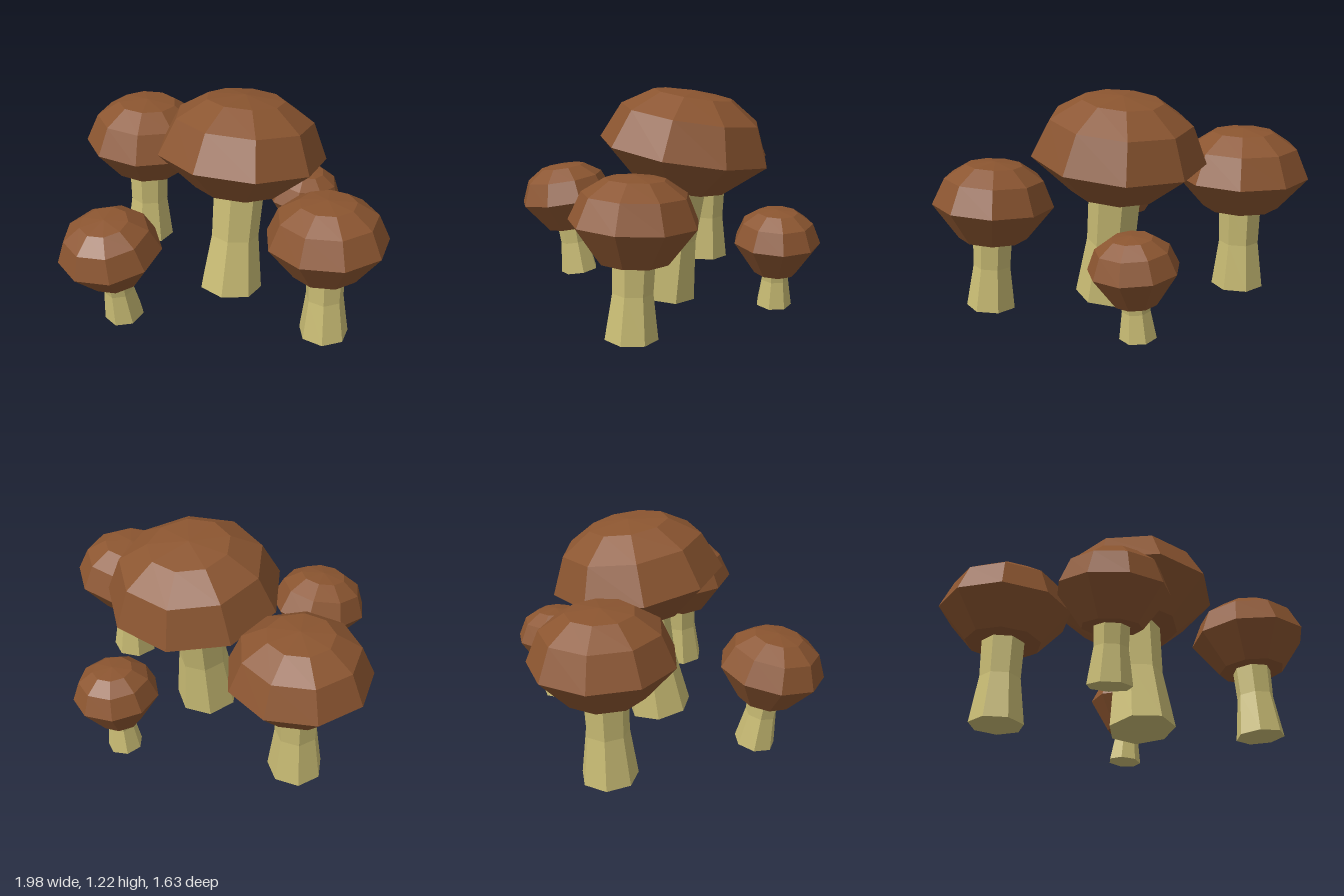
import * as THREE from 'three';

const rad = THREE.MathUtils.degToRad;

// Faceted solid of revolution; profile is [radius, height] from bottom to top
function faceted(profile, sides, phase) {
  const pts = profile.map(([r, y]) => new THREE.Vector2(r, y));
  const geo = new THREE.LatheGeometry(pts, sides, rad(phase)).toNonIndexed();
  geo.computeVertexNormals();
  return geo;
}

// base: centre of the stem foot; rim: centre of the widest cap ring.
// cap: radius r, rise above the rim, drop below it, radius of the lower ring.
const MUSHROOMS = [
  { name: 'largeMushroom', base: [0.05, 0.03, 0.01], rim: [0.07, 0.88, -0.115],
    r: 0.49, rise: 0.34, drop: 0.205, low: 0.26, foot: 0.19, capPhase: 26, stemPhase: 2 },
  { name: 'backRightMushroom', base: [-0.65, 0.035, -0.375], rim: [-0.635, 0.72, -0.39],
    r: 0.385, rise: 0.275, drop: 0.19, low: 0.22, foot: 0.155, capPhase: 12, stemPhase: 0 },
  { name: 'frontRightMushroom', base: [-0.445, 0.03, 0.475], rim: [-0.47, 0.505, 0.54],
    r: 0.29, rise: 0.21, drop: 0.185, low: 0.155, foot: 0.115, capPhase: 24, stemPhase: -3 },
  { name: 'backLeftMushroom', base: [0.315, 0.028, -0.585], rim: [0.345, 0.405, -0.582],
    r: 0.24, rise: 0.18, drop: 0.18, low: 0.12, foot: 0.1, capPhase: 3, stemPhase: 9 },
  { name: 'frontLeftMushroom', base: [0.69, 0.03, 0.267], rim: [0.665, 0.63, 0.242],
    r: 0.335, rise: 0.235, drop: 0.195, low: 0.19, foot: 0.14, capPhase: 28, stemPhase: 10 },
];

export function createModel() {
  const capBrown = new THREE.MeshStandardMaterial({ color: 0x8b5530 });
  capBrown.name = 'capBrown';
  const stemCream = new THREE.MeshStandardMaterial({ color: 0xc9bc74 });
  stemCream.name = 'stemCream';

  const model = new THREE.Group();
  model.name = 'mushroomCluster';

  for (const m of MUSHROOMS) {
    const base = new THREE.Vector3(...m.base);
    const axis = new THREE.Vector3(...m.rim).sub(base);
    const h = axis.length();

    const mushroom = new THREE.Group();
    mushroom.name = m.name;
    mushroom.position.copy(base);
    mushroom.quaternion.setFromUnitVectors(new THREE.Vector3(0, 1, 0), axis.normalize());

    // Seven-sided stem, flared at the foot and running up into the cap
    const stem = new THREE.Mesh(faceted([
      [0, 0], [m.foot, 0], [m.foot * 0.76, h * 0.4],
      [m.foot * 0.81, h - m.drop * 0.8], [0, h - m.drop * 0.8],
    ], 7, m.stemPhase), stemCream);
    stem.name = 'stem';

    // Nine-sided domed cap with a tapered underside
    const cap = new THREE.Mesh(faceted([
      [0, h - m.drop], [m.low, h - m.drop], [m.r, h],
      [m.r * 0.81, h + m.rise * 0.61], [m.r * 0.46, h + m.rise * 0.93], [0, h + m.rise],
    ], 9, m.capPhase), capBrown);
    cap.name = 'cap';

    mushroom.add(stem, cap);
    model.add(mushroom);
  }
  return model;
}
